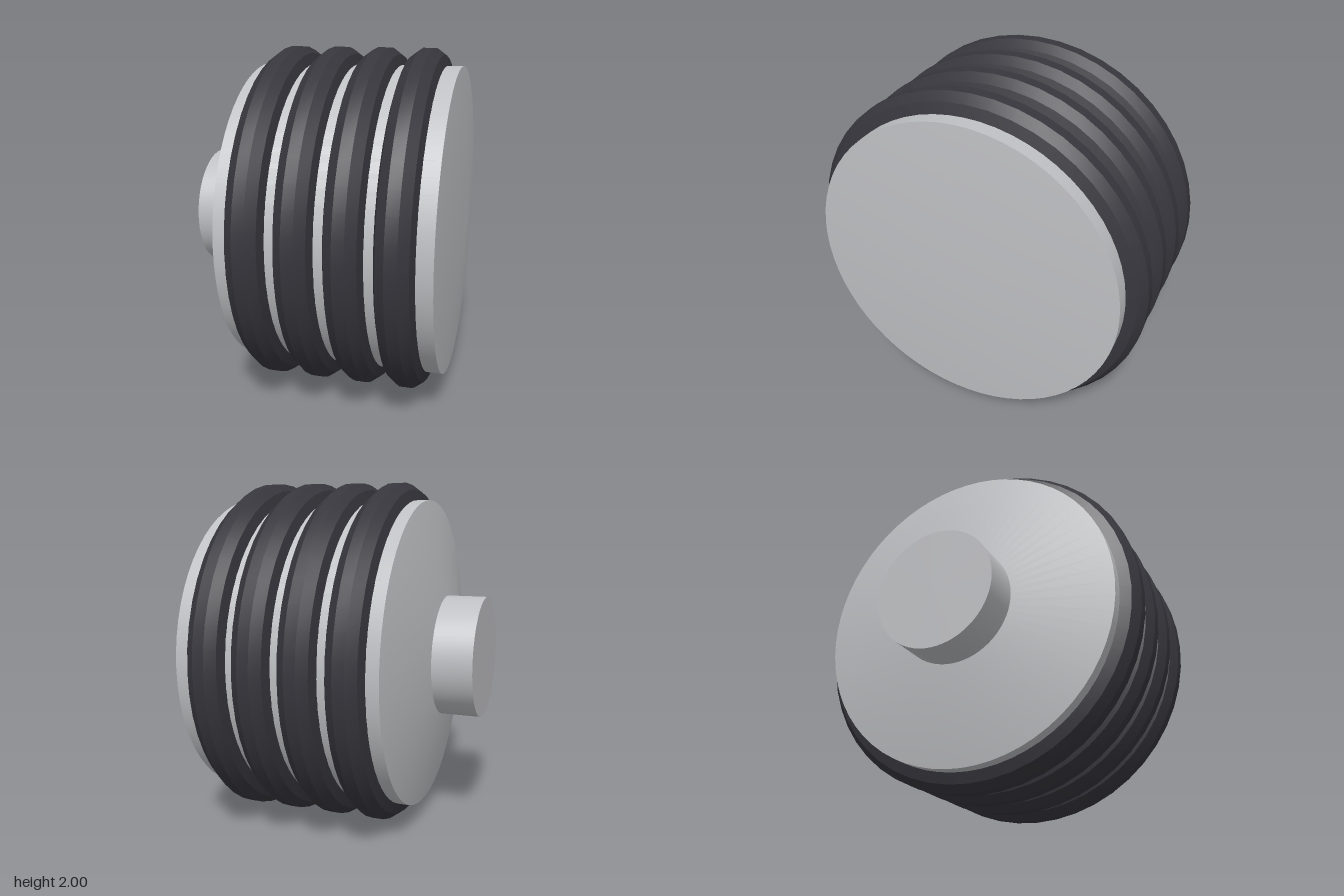
import * as THREE from 'three';
import { toCreasedNormals } from 'three/addons/utils/BufferGeometryUtils.js';

// Revolve a profile of [position along x, radius] pairs around the x axis
function revolve(profile, segments) {
  const points = profile.map(([x, r]) => new THREE.Vector2(r, x));
  const geometry = new THREE.LatheGeometry(points, segments);
  geometry.rotateZ(-Math.PI / 2);
  return toCreasedNormals(geometry, 0.5);
}

export function createModel() {
  const model = new THREE.Group();
  model.name = 'ribbedDrum';

  const metal = new THREE.MeshStandardMaterial({ color: 0xbfc0c3 });
  metal.name = 'light grey metal';
  const rubber = new THREE.MeshStandardMaterial({ color: 0x37363d });
  rubber.name = 'dark rubber';

  const add = (name, geometry, material, x = 0) => {
    const mesh = new THREE.Mesh(geometry, material);
    mesh.name = name;
    mesh.position.set(x, 1, 0);
    model.add(mesh);
  };

  // Drum with a conical shoulder and a shallow domed end
  add('drum', revolve([[-0.555, 0], [-0.555, 0.35], [-0.44, 0.9], [0.72, 0.9], [0.78, 0]], 64), metal);

  // Short shaft on the shoulder side
  add('shaft', revolve([[-0.785, 0], [-0.785, 0.35], [-0.55, 0.35]], 64), metal);

  // Four rings with a ten-sided section, sunk halfway into the drum
  const section = [];
  for (let i = 0; i <= 10; i++) {
    const a = (i / 10) * Math.PI * 2 - Math.PI / 2;
    section.push([0.107 * Math.sin(a), 0.898 + 0.107 * Math.cos(a)]);
  }
  const ring = revolve(section, 48);
  for (let i = 0; i < 4; i++) add(`ring${i + 1}`, ring, rubber, -0.262 + i * 0.262);

  return model;
}
